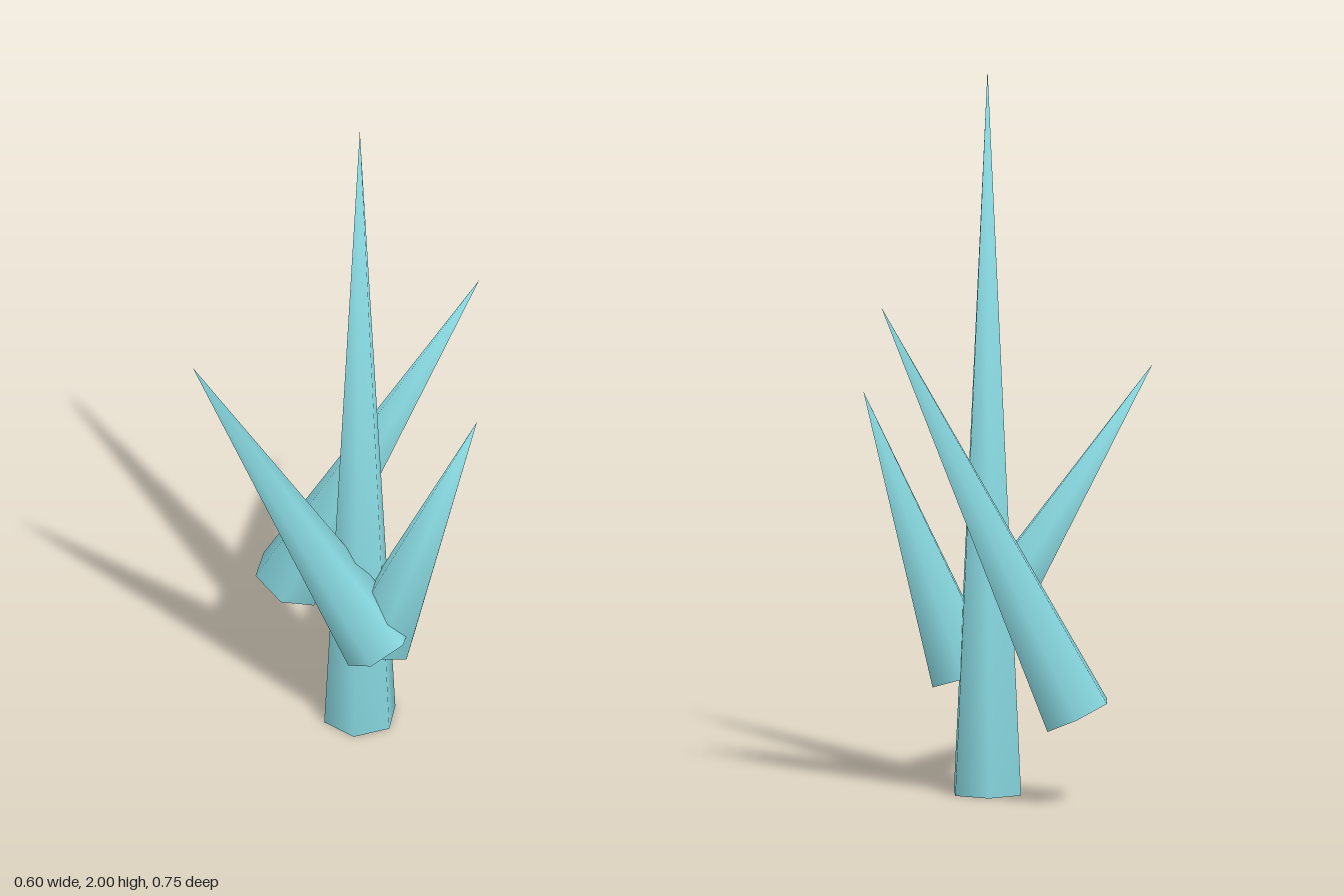
import * as THREE from 'three';
import { mergeVertices } from 'three/addons/utils/BufferGeometryUtils.js';

const RADIUS = 0.104;

const crystalBlue = new THREE.MeshStandardMaterial({ color: 0x88d8e0 });
crystalBlue.name = 'crystalBlue';

// Six-sided spike from a base centre to a tip, with normals smoothed over every edge
function crystal(name, base, tip) {
  const from = new THREE.Vector3(...base);
  const lean = new THREE.Vector3(...tip).sub(from);
  const length = lean.length();

  let geometry = new THREE.ConeGeometry(RADIUS, length, 6, 1);
  geometry.translate(0, length / 2, 0);
  geometry.deleteAttribute('normal');
  geometry.deleteAttribute('uv');
  geometry = mergeVertices(geometry, 1e-4);
  geometry.computeVertexNormals();

  const mesh = new THREE.Mesh(geometry, crystalBlue);
  mesh.name = name;
  mesh.position.copy(from);
  // Lean forward or back first, then sideways
  mesh.rotation.set(Math.asin(lean.z / length), 0, Math.atan2(-lean.x, lean.y), 'ZYX');
  return mesh;
}

export function createModel() {
  const model = new THREE.Group();
  model.name = 'crystalCluster';
  model.add(
    crystal('mainCrystal', [-0.025, 0, 0.045], [-0.025, 2, 0.045]),
    crystal('backCrystal', [0.07, 0.25, -0.283], [0.298, 1.375, 0.203]),
    crystal('rightCrystal', [-0.078, 0.325, 0.159], [-0.3, 1.175, -0.32]),
    crystal('frontCrystal', [-0.045, 0.32, 0.13], [0.077, 1.1, 0.375]),
  );
  return model;
}
